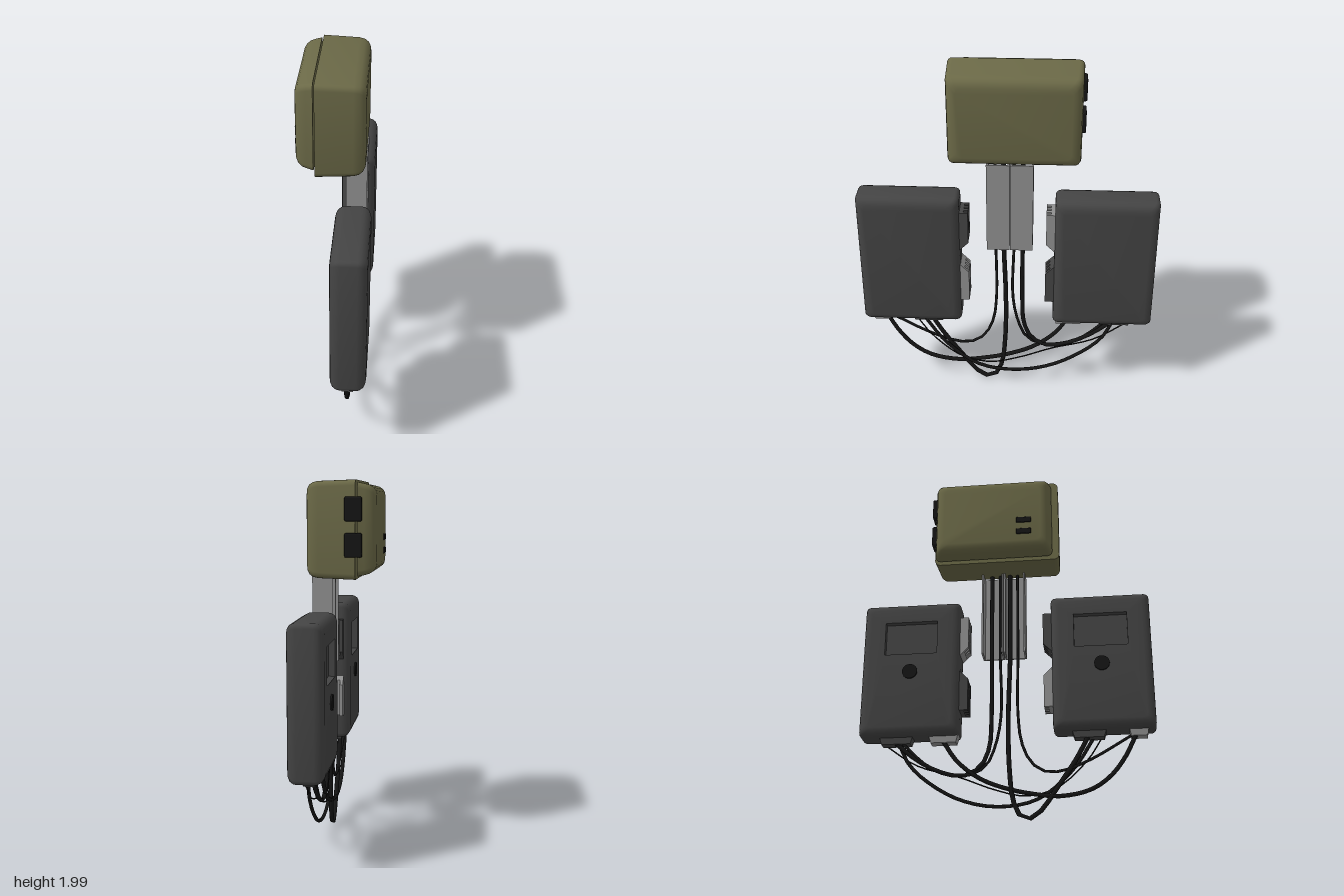
import * as THREE from 'three';
import { toCreasedNormals } from 'three/addons/utils/BufferGeometryUtils.js';
import { RoundedBoxGeometry } from 'three/addons/geometries/RoundedBoxGeometry.js';

const mat = (color) => new THREE.MeshStandardMaterial({ color });
const olive = mat(0x6b6947), dark = mat(0x444444), grey = mat(0x909090), black = mat(0x151515);

function add(parent, name, geometry, material, x = 0, y = 0, z = 0) {
  const mesh = new THREE.Mesh(geometry, material);
  mesh.name = name;
  mesh.position.set(x, y, z);
  parent.add(mesh);
  return mesh;
}

// Skin through rounded rectangles across x; section = [x, z centre, y centre, half z, half y, corner radius]
function loft(sections, steps = 4) {
  const pos = [], index = [], n = 4 * (steps + 1);
  for (const [x, cz, cy, hz, hy, r] of sections) {
    for (let c = 0; c < 4; c++) {
      const sz = c === 0 || c === 3 ? 1 : -1, sy = c < 2 ? 1 : -1;
      for (let s = 0; s <= steps; s++) {
        const a = (c + s / steps) * Math.PI / 2;
        pos.push(x, cy + sy * (hy - r) + r * Math.sin(a), cz + sz * (hz - r) + r * Math.cos(a));
      }
    }
  }
  const last = sections.length - 1;
  for (let k = 0; k < last; k++) {
    for (let i = 0; i < n; i++) {
      const j = (i + 1) % n, a = k * n, b = a + n;
      index.push(a + i, b + i, a + j, a + j, b + i, b + j);
    }
  }
  for (let i = 1; i < n - 1; i++) {
    index.push(0, i, i + 1, last * n, last * n + i + 1, last * n + i);
  }
  const g = new THREE.BufferGeometry();
  g.setAttribute('position', new THREE.Float32BufferAttribute(pos, 3));
  g.setIndex(index);
  return toCreasedNormals(g, 0.75);
}

// Block that narrows downwards
function plugGeometry(w, h, d) {
  const g = new THREE.BoxGeometry(w, h, d), p = g.attributes.position;
  for (let i = 0; i < p.count; i++) {
    if (p.getY(i) < 0) p.setXYZ(i, p.getX(i) * 0.85, p.getY(i), p.getZ(i) * 0.85);
  }
  g.computeVertexNormals();
  return g;
}

// Extrude a (z, y) outline between two x positions
function sidePlate(points, x0, x1) {
  const shape = new THREE.Shape(points.map(([z, y]) => new THREE.Vector2(z, y)));
  const g = new THREE.ExtrudeGeometry(shape, { depth: x1 - x0, bevelEnabled: false });
  return g.rotateY(-Math.PI / 2).translate(x1, 0, 0);
}

function cable(parent, x, radius, points) {
  const curve = new THREE.CatmullRomCurve3(points.map(([z, y]) => new THREE.Vector3(x, y, z)), false, 'centripetal');
  add(parent, 'cable', new THREE.TubeGeometry(curve, points.length * 3, radius, 8), black);
}

function createTopCase() {
  const g = new THREE.Group();
  g.name = 'topCase';
  const body = [[-0.095, 0], [0.1, 0.007], [0.13, 0.013], [0.15, 0.025], [0.161, 0.042], [0.165, 0.06]];
  add(g, 'caseBody', loft(body.map(([x, d]) => [x, -0.035, 1.743, 0.36 - d, 0.257 - d, 0.03])), olive);
  const lid = [[-0.2, 0.06], [-0.196, 0.043], [-0.185, 0.027], [-0.165, 0.014], [-0.14, 0.007], [-0.105, 0]];
  add(g, 'caseLid', loft(lid.map(([x, d]) => [x, -0.052, 1.745, 0.338 - d, 0.242 - d, 0.03])), olive);
  for (const y of [1.665, 1.85]) {
    add(g, 'latch', new RoundedBoxGeometry(0.09, 0.125, 0.03, 2, 0.008), black, -0.085, y, -0.397);
  }
  for (const y of [1.62, 1.695]) {
    add(g, 'lidButton', new RoundedBoxGeometry(0.016, 0.034, 0.085, 2, 0.005), black, -0.2, y, 0.13);
  }
  return g;
}

function createUnit(side, plugs) {
  const g = new THREE.Group();
  g.name = side > 0 ? 'frontUnit' : 'rearUnit';
  const cz = side * 0.54, cy = 0.9025;
  const shell = [[0.01, 0.045], [0.014, 0.028], [0.025, 0.012], [0.045, 0.002], [0.06, 0],
    [0.15, 0], [0.165, 0.002], [0.185, 0.012], [0.196, 0.028], [0.2, 0.045]];
  // Recessed window first, then the rounded shell
  const sections = [
    [0.045, cz, 1.08, 0.15, 0.1, 0], [0.01, cz, 1.08, 0.15, 0.1, 0],
    ...shell.map(([x, d]) => [x, cz, cy, 0.28 - d, 0.4025 - d, 0.025]),
  ];
  add(g, 'unitHousing', loft(sections), dark);
  add(g, 'knob', new THREE.CylinderGeometry(0.043, 0.043, 0.02, 20).rotateZ(Math.PI / 2), black, 0.011, 0.87, cz);

  // Finned side connectors, one light and one dark
  for (const f of [1, -1]) {
    const material = f === side ? dark : grey;
    const outline = (z) => [[0.27, 0.04], [z, 0.04 + (0.27 - z)], [z, 0.285], [0.27, 0.285]]
      .map(([a, b]) => [side * a, 0.925 + f * b]);
    add(g, 'connectorBase', sidePlate(outline(0.238), 0.045, 0.165), material);
    for (let i = 0; i < 4; i++) {
      const x = 0.045 + i * 0.034;
      add(g, 'connectorFin', sidePlate(outline(0.213), x, x + 0.018), material);
    }
  }
  // Cable plugs underneath
  for (const [z, width, material] of plugs) {
    add(g, 'cablePlug', plugGeometry(0.07, 0.045, width), material, 0.103, 0.486, z);
  }
  return g;
}

export function createModel() {
  const model = new THREE.Group();
  model.name = 'equipmentSet';
  model.add(createTopCase());

  // Two cable channels, open towards -x
  for (const z of [0.049, -0.078]) {
    const w = 0.062, t = 0.01, s = new THREE.Shape();
    [[0.055, -w], [0.168, -w], [0.168, w], [0.055, w], [0.055, w - t], [0.168 - t, w - t], [0.168 - t, t - w], [0.055, t - w]]
      .forEach(([x, y], i) => (i ? s.lineTo(x, y) : s.moveTo(x, y)));
    const geo = new THREE.ExtrudeGeometry(s, { depth: 0.525, bevelEnabled: false }).rotateX(-Math.PI / 2);
    add(model, 'cableChannel', geo, grey, 0, 0.985, z);
  }

  model.add(createUnit(1, [[0.725, 0.105, grey], [0.455, 0.19, dark]]));
  model.add(createUnit(-1, [[-0.35, 0.165, grey], [-0.615, 0.19, dark]]));

  // Cables from the case through the channels to the units
  const cables = new THREE.Group();
  cables.name = 'cables';
  model.add(cables);
  cable(cables, 0.09, 0.008, [[0.066, 1.52], [0.066, 1], [0.064, 0.62], [0.085, 0.445], [0.14, 0.33], [0.22, 0.28],
    [0.31, 0.285], [0.455, 0.34], [0.7, 0.48]]);
  cable(cables, 0.09, 0.013, [[0.022, 1.52], [0.022, 1], [0.01, 0.6], [0.015, 0.31], [0.04, 0.11], [0.095, 0.022],
    [0.17, 0.053], [0.28, 0.2], [0.39, 0.365], [0.45, 0.48]]);
  cable(cables, 0.09, 0.008, [[-0.036, 1.52], [-0.036, 1], [-0.03, 0.62], [-0.06, 0.445], [-0.11, 0.33], [-0.19, 0.28],
    [-0.285, 0.28], [-0.42, 0.325], [-0.59, 0.48]]);
  cable(cables, 0.095, 0.012, [[-0.084, 1.52], [-0.084, 1], [-0.084, 0.62], [-0.095, 0.435], [-0.14, 0.33], [-0.235, 0.275],
    [-0.365, 0.3], [-0.5, 0.375], [-0.625, 0.48]]);
  // Cables between the units
  cable(cables, 0.09, 0.012, [[0.71, 0.48], [0.64, 0.345], [0.56, 0.245], [0.455, 0.175], [0.295, 0.143], [0.14, 0.16],
    [-0.02, 0.2], [-0.155, 0.26], [-0.275, 0.36], [-0.355, 0.48]]);
  cable(cables, 0.125, 0.01, [[0.48, 0.48], [0.36, 0.3], [0.165, 0.14], [-0.05, 0.105], [-0.26, 0.15], [-0.445, 0.26],
    [-0.55, 0.365], [-0.605, 0.48]]);
  cable(cables, 0.125, 0.004, [[0.525, 0.48], [0.44, 0.35], [0.27, 0.2], [0.1, 0.16], [-0.07, 0.2], [-0.26, 0.275],
    [-0.5, 0.35], [-0.69, 0.48]]);
  return model;
}
